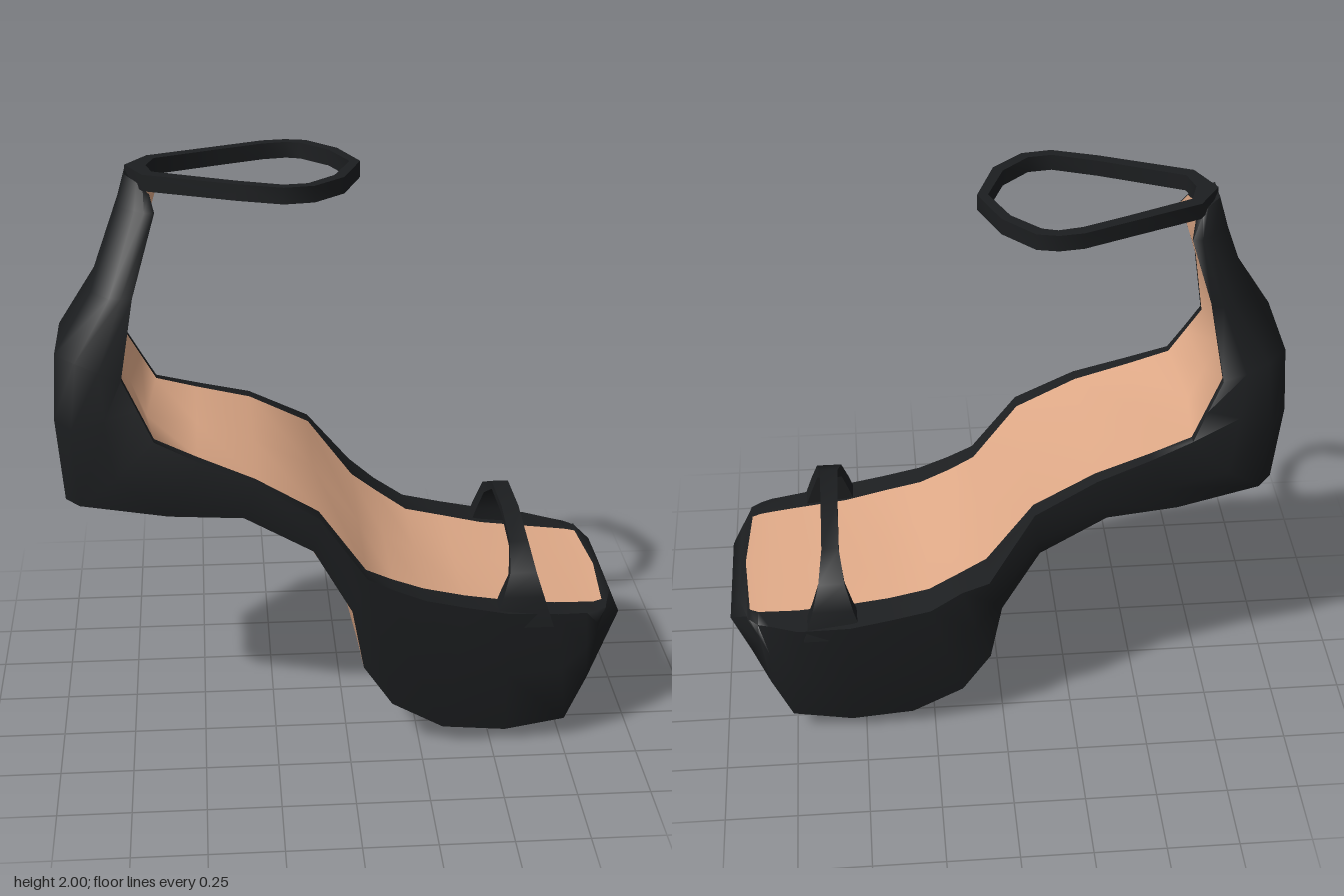
import * as THREE from 'three';
import { mergeGeometries, toCreasedNormals } from 'three/addons/utils/BufferGeometryUtils.js';

const black = new THREE.MeshStandardMaterial({ color: 0x1c1e20 });
const tan = new THREE.MeshStandardMaterial({ color: 0xe0aa88 });

// Stations run from the top of the heel counter, down round the heel, to the toe.
// Rim: x, y, half width of the insole, half width of the rim, lift of the right side
const rim = [
  [-0.63, 1.925, 0.08, 0.085, 0], [-0.615, 1.875, 0.125, 0.13, 0],
  [-0.695, 1.62, 0.16, 0.18, 0], [-0.74, 1.36, 0.215, 0.24, 0],
  [-0.69, 1.26, 0.24, 0.265, 0], [-0.64, 1.16, 0.265, 0.295, 0], [-0.5, 1.1, 0.285, 0.325, 0.015],
  [-0.31, 1.025, 0.31, 0.36, 0.035], [-0.1, 0.905, 0.325, 0.385, 0.045],
  [0.06, 0.68, 0.33, 0.4, 0.05], [0.15, 0.635, 0.32, 0.4, 0.03], [0.26, 0.59, 0.31, 0.4, 0],
  [0.4, 0.558, 0.31, 0.4, 0], [0.54, 0.53, 0.3, 0.4, 0], [0.72, 0.51, 0.295, 0.38, 0],
  [0.82, 0.503, 0.285, 0.365, 0], [0.86, 0.5, 0.28, 0.35, 0], [0.89, 0.5, 0.265, 0.32, 0],
];
// Lower or rear side edge: x, y, half width
const edge = [
  [-0.67, 1.965, 0.075], [-0.68, 1.88, 0.115], [-0.77, 1.62, 0.175], [-0.89, 1.42, 0.23],
  [-0.91, 1.2, 0.265], [-0.9, 0.895, 0.21], [-0.6, 0.89, 0.3], [-0.35, 0.9, 0.35],
  [-0.12, 0.78, 0.375], [0.01, 0.55, 0.385], [0.05, 0.33, 0.385], [0.15, 0.18, 0.385],
  [0.33, 0.07, 0.37], [0.55, 0.05, 0.37], [0.76, 0.08, 0.36], [0.83, 0.25, 0.37],
  [0.86, 0.42, 0.355], [0.9, 0.5, 0.3],
];
// Centre of the back, underside and toe front: x, y, half width
const sole = [
  [-0.71, 1.985, 0.05], [-0.74, 1.88, 0.06], [-0.83, 1.63, 0.12], [-0.96, 1.42, 0.15],
  [-0.97, 1.2, 0.18], [-0.95, 0.895, 0.15], [-0.6, 0.89, 0.2], [-0.35, 0.87, 0.2],
  [-0.13, 0.72, 0.2], [0, 0.5, 0.2], [0.04, 0.34, 0.2], [0.14, 0.13, 0.2], [0.33, 0.02, 0.2],
  [0.54, 0, 0.2], [0.76, 0.08, 0.2], [0.9, 0.25, 0.2], [0.965, 0.42, 0.21], [0.93, 0.5, 0.2],
];

// Surface through rows of points
function grid(rows) {
  const n = rows[0].length, index = [];
  for (let i = 0; i < rows.length - 1; i++) {
    for (let j = 0; j < n - 1; j++) {
      const a = i * n + j, b = a + 1, c = b + n, d = a + n;
      index.push(a, b, c, a, c, d);
    }
  }
  const g = new THREE.BufferGeometry();
  g.setAttribute('position', new THREE.Float32BufferAttribute(rows.flat(2), 3));
  g.setIndex(index);
  return g;
}

function part(name, geometries, material, crease) {
  const mesh = new THREE.Mesh(toCreasedNormals(mergeGeometries(geometries), crease), material);
  mesh.name = name;
  return mesh;
}

// Cross-section in the order: insole, left side, underside, right side
function section(i) {
  const [rx, ry, inner, outer, lift] = rim[i], [ex, ey, eh] = edge[i], [sx, sy, sh] = sole[i];
  const zc = i < 2 ? -0.02 : 0.035;
  const bulge = Math.max(outer, eh) + 0.004;
  // The right side stands out at the ball and a little along the toes
  const flare = i === 9 ? 0.065 : i > 9 && i < 15 ? 0.03 : 0;
  const mx = (rx + ex) / 2, my = (ry + ey) / 2;
  const hollow = i < 6 ? [rx - 0.03, ry - (i === 5 ? 0.03 : 0)] : [rx, ry + lift / 2 - (i < 13 ? 0.01 : 0)];
  if (i > 15) hollow[0] += 0.02;
  return [
    [rx, ry + lift, zc - inner], [...hollow, zc], [rx, ry, zc + inner],
    [rx, ry, zc + outer], [mx, my, zc + bulge], [ex, ey, zc + eh], [sx, sy, zc + sh],
    [sx, sy, zc - sh], [ex, ey, zc - eh], [mx, my, zc - bulge - flare / 2],
    [rx, ry + lift, zc - outer - flare], [rx, ry + lift, zc - inner],
  ];
}

export function createModel() {
  const group = new THREE.Group();
  const rings = rim.map((_, i) => section(i));
  const last = rings.length - 1;
  const patch = (i0, i1, j0, j1) => grid(rings.slice(i0, i1 + 1).map((r) => r.slice(j0, j1 + 1)));
  const collapse = (r) => r.map(() => r[1]);

  // Black upper: both sides, heel back, toe front and the two ends
  group.add(part('upper', [
    patch(0, last, 2, 5), patch(0, last, 8, 11),
    patch(0, 5, 5, 8), patch(14, last, 5, 8),
    grid([collapse(rings[0]), rings[0]]), grid([rings[last], collapse(rings[last])]),
  ], black, 1.4));
  group.add(part('insole', [patch(0, last, 0, 2)], tan, 1.5));
  group.add(part('outsole', [patch(5, 14, 5, 8)], tan, 0.9));

  // Toe strap: outer z, outer y, inner z, inner y, half width
  const arch = [
    [0.43, 0.47, 0.345, 0.47, 0.105], [0.415, 0.58, 0.345, 0.57, 0.07],
    [0.385, 0.66, 0.345, 0.635, 0.045], [0.27, 0.72, 0.26, 0.695, 0.032],
    [0.05, 0.75, 0.05, 0.722, 0.03], [-0.2, 0.73, -0.19, 0.703, 0.03],
    [-0.32, 0.67, -0.28, 0.645, 0.045], [-0.36, 0.58, -0.295, 0.57, 0.07],
    [-0.385, 0.47, -0.29, 0.47, 0.105],
  ];
  group.add(part('toeStrap', [grid(arch.map(([zo, yo, zi, yi, w]) => [
    [0.597 - w, yo, zo], [0.597 + w, yo, zo], [0.597 + w, yi, zi],
    [0.597 - w, yi, zi], [0.597 - w, yo, zo],
  ]))], black, 0.9));

  // Ankle strap: a level band cut from an outer and an inner outline (x, z)
  const points = (list) => list.map(([x, z]) => new THREE.Vector2(x, z));
  const band = new THREE.Shape(points([
    [-0.71, -0.03], [-0.64, -0.135], [-0.4, -0.23], [-0.25, -0.29], [-0.17, -0.3], [-0.1, -0.285],
    [0, -0.18], [0.065, -0.02], [0, 0.16], [-0.1, 0.25], [-0.2, 0.265], [-0.35, 0.215], [-0.65, 0.09],
  ]));
  band.holes.push(new THREE.Path(points([
    [-0.64, -0.02], [-0.615, -0.1], [-0.4, -0.19], [-0.25, -0.25], [-0.17, -0.265], [-0.12, -0.25],
    [-0.03, -0.16], [0.03, -0.02], [-0.03, 0.135], [-0.12, 0.22], [-0.2, 0.23], [-0.35, 0.175],
    [-0.62, 0.055],
  ])));
  const bandGeometry = new THREE.ExtrudeGeometry(band, { depth: 0.055, bevelEnabled: false });
  bandGeometry.rotateX(Math.PI / 2).translate(0, 2, 0);
  group.add(part('ankleStrap', [bandGeometry], black, 0.9));
  return group;
}
